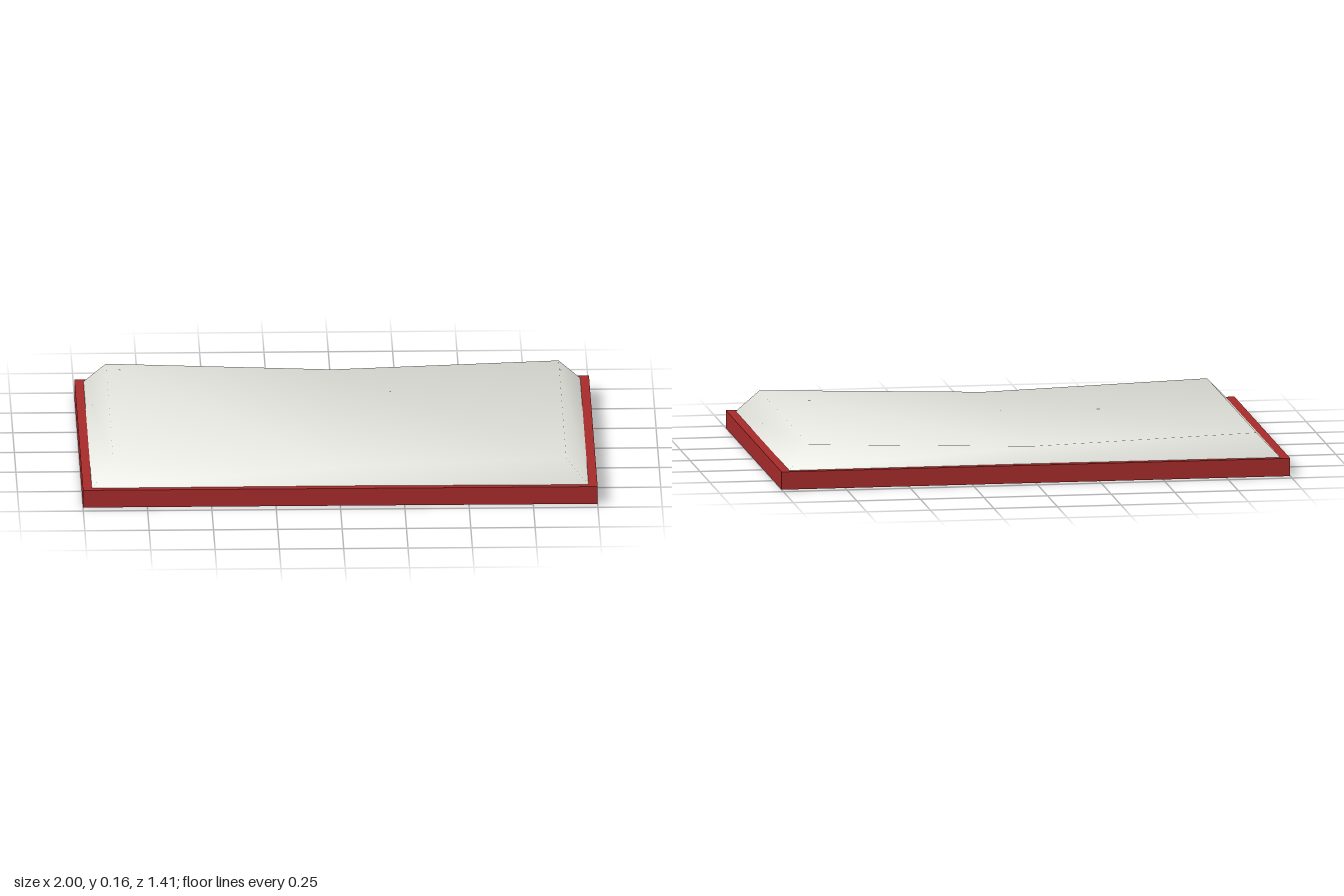
import * as THREE from 'three';

const coverRed = new THREE.MeshStandardMaterial({ color: 0xa52a2a });
coverRed.name = 'coverRed';
const pageWhite = new THREE.MeshStandardMaterial({ color: 0xe6e6e0 });
pageWhite.name = 'pageWhite';

// Page block: a lower and an upper loop of six points, dipping at the middle fold
function pageGeometry() {
  const loop = [[-1, -1], [0, -1], [1, -1], [1, 1], [0, 1], [-1, 1]];
  const n = loop.length;
  const positions = [], normals = [], index = [];
  const add = (p, normal) => {
    positions.push(...p);
    normals.push(...new THREE.Vector3(...normal).normalize().toArray());
  };
  for (const [sx, sz] of loop) {
    add([sx * 0.965, 0.07, sz * (sx ? 0.678 : 0.671)], [sx * 0.7, sx ? 1.23 : 0.53, sz * 0.85]);
  }
  for (const [sx, sz] of loop) {
    add([sx * 0.88, sx ? 0.16 : 0.13, sz * 0.62], [sx * 0.7, sx ? 2.23 : 1.53, sz * 0.85]);
  }
  // Sloping page edges
  for (let i = 0; i < n; i++) {
    const j = (i + 1) % n;
    index.push(i, i + n, j, j, i + n, j + n);
  }
  // The two open page faces
  for (const [a, b, c, d] of [[0, 5, 4, 1], [1, 4, 3, 2]]) {
    index.push(a + n, b + n, c + n, a + n, c + n, d + n);
  }
  const g = new THREE.BufferGeometry();
  g.setAttribute('position', new THREE.Float32BufferAttribute(positions, 3));
  // Normals shared across the edges give the pages their soft, pillowy look
  g.setAttribute('normal', new THREE.Float32BufferAttribute(normals, 3));
  g.setIndex(index);
  return g;
}

export function createModel() {
  const book = new THREE.Group();
  book.name = 'openBook';

  const cover = new THREE.Mesh(new THREE.BoxGeometry(2, 0.07, 1.41), coverRed);
  cover.name = 'cover';
  cover.position.y = 0.035;

  const pages = new THREE.Mesh(pageGeometry(), pageWhite);
  pages.name = 'pages';

  book.add(cover, pages);
  return book;
}
